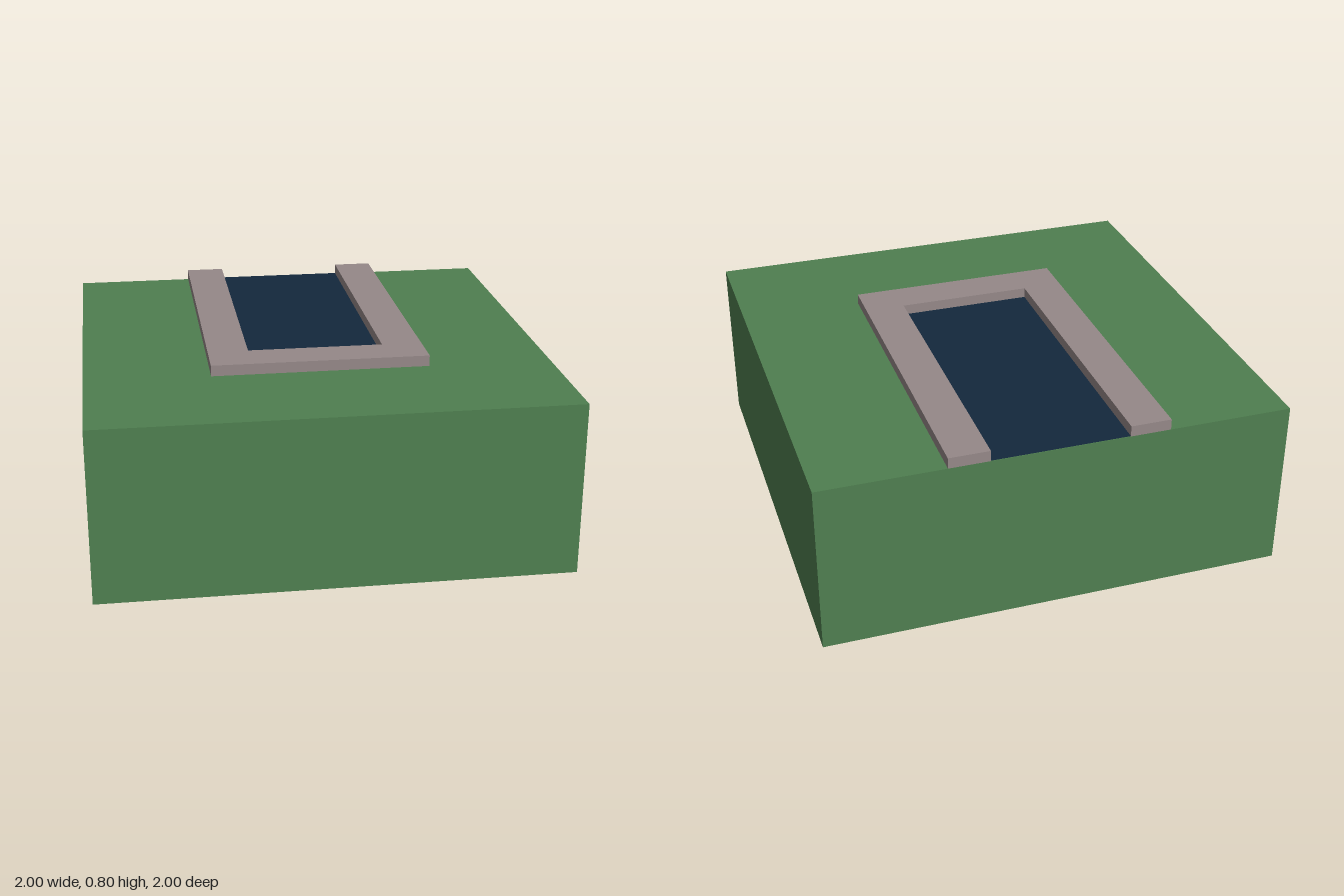
import * as THREE from 'three';

const GROUND_TOP = 0.75, BACK = -1;
const OUTER = 0.467, INNER = 0.293, RIM_HEIGHT = 0.047;

function part(name, geometry, color) {
  const mesh = new THREE.Mesh(geometry, new THREE.MeshStandardMaterial({ color }));
  mesh.name = name;
  return mesh;
}

export function createModel() {
  const model = new THREE.Group();
  model.name = 'canalEndTile';

  // Grass block
  const ground = part('grassBlock', new THREE.BoxGeometry(2, GROUND_TOP, 2), 0x4f7f50);
  ground.position.y = GROUND_TOP / 2;
  model.add(ground);

  // U-shaped stone rim, open at the back edge; shape y becomes -z
  const rimShape = new THREE.Shape([
    [-OUTER, -OUTER], [OUTER, -OUTER], [OUTER, -BACK], [INNER, -BACK],
    [INNER, -INNER], [-INNER, -INNER], [-INNER, -BACK], [-OUTER, -BACK],
  ].map(([x, y]) => new THREE.Vector2(x, y)));
  const rimGeometry = new THREE.ExtrudeGeometry(rimShape, { depth: RIM_HEIGHT, bevelEnabled: false });
  rimGeometry.rotateX(-Math.PI / 2);
  const rim = part('stoneRim', rimGeometry, 0x958888);
  rim.position.y = GROUND_TOP;
  model.add(rim);

  // Water surface, a hair above the grass
  const length = INNER - BACK;
  const waterGeometry = new THREE.PlaneGeometry(INNER * 2, length);
  waterGeometry.rotateX(-Math.PI / 2);
  const water = part('water', waterGeometry, 0x13283c);
  water.position.set(0, GROUND_TOP + 0.002, BACK + length / 2);
  model.add(water);

  return model;
}
